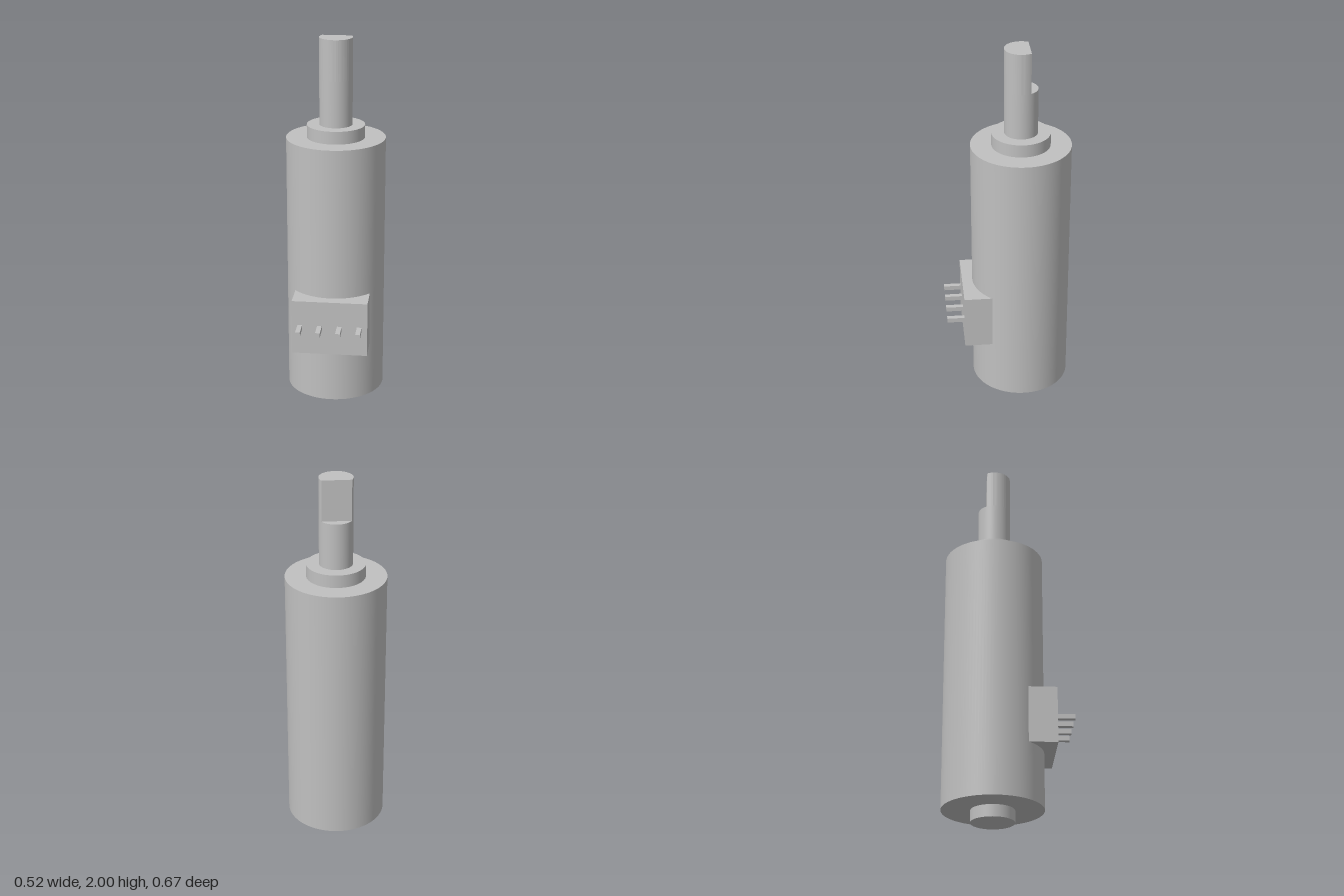
import * as THREE from 'three';
import { toCreasedNormals } from 'three/addons/utils/BufferGeometryUtils.js';

export function createModel() {
  const group = new THREE.Group();
  const grey = new THREE.MeshStandardMaterial({ color: 0xc0c0c0 });
  grey.name = 'plain grey';

  const axisZ = -0.075; // motor axis sits behind the centre

  const add = (name, geometry, x, y, z) => {
    const mesh = new THREE.Mesh(geometry, grey);
    mesh.name = name;
    mesh.position.set(x, y, z);
    group.add(mesh);
    return mesh;
  };
  const disc = (name, radius, y0, y1) =>
    add(name, new THREE.CylinderGeometry(radius, radius, y1 - y0, 96), 0, (y0 + y1) / 2, axisZ);

  // Turned parts, bottom to top
  disc('rearBoss', 0.113, 0, 0.063);
  disc('body', 0.262, 0.063, 1.472);
  disc('frontBoss', 0.153, 1.472, 1.54);
  disc('shaft', 0.087, 1.54, 1.785);

  // D-shaped shaft end, its flat facing the back
  const cut = Math.asin(0.043 / 0.087);
  const section = new THREE.Shape();
  section.absarc(0, 0, 0.087, Math.PI - cut, Math.PI * 2 + cut, false);
  section.closePath();
  const end = new THREE.ExtrudeGeometry(section, { depth: 0.215, bevelEnabled: false, curveSegments: 72 });
  end.rotateX(-Math.PI / 2);
  add('shaftFlatEnd', toCreasedNormals(end, 0.5), 0, 1.785, axisZ);

  // Connector block, its back sunk into the body
  add('connector', new THREE.BoxGeometry(0.4, 0.298, 0.148), 0, 0.51, 0.169);

  // Four square pins
  for (let i = 0; i < 4; i++) {
    add('pin', new THREE.BoxGeometry(0.025, 0.025, 0.1), -0.158 + i * 0.105, 0.511, 0.285);
  }

  return group;
}
